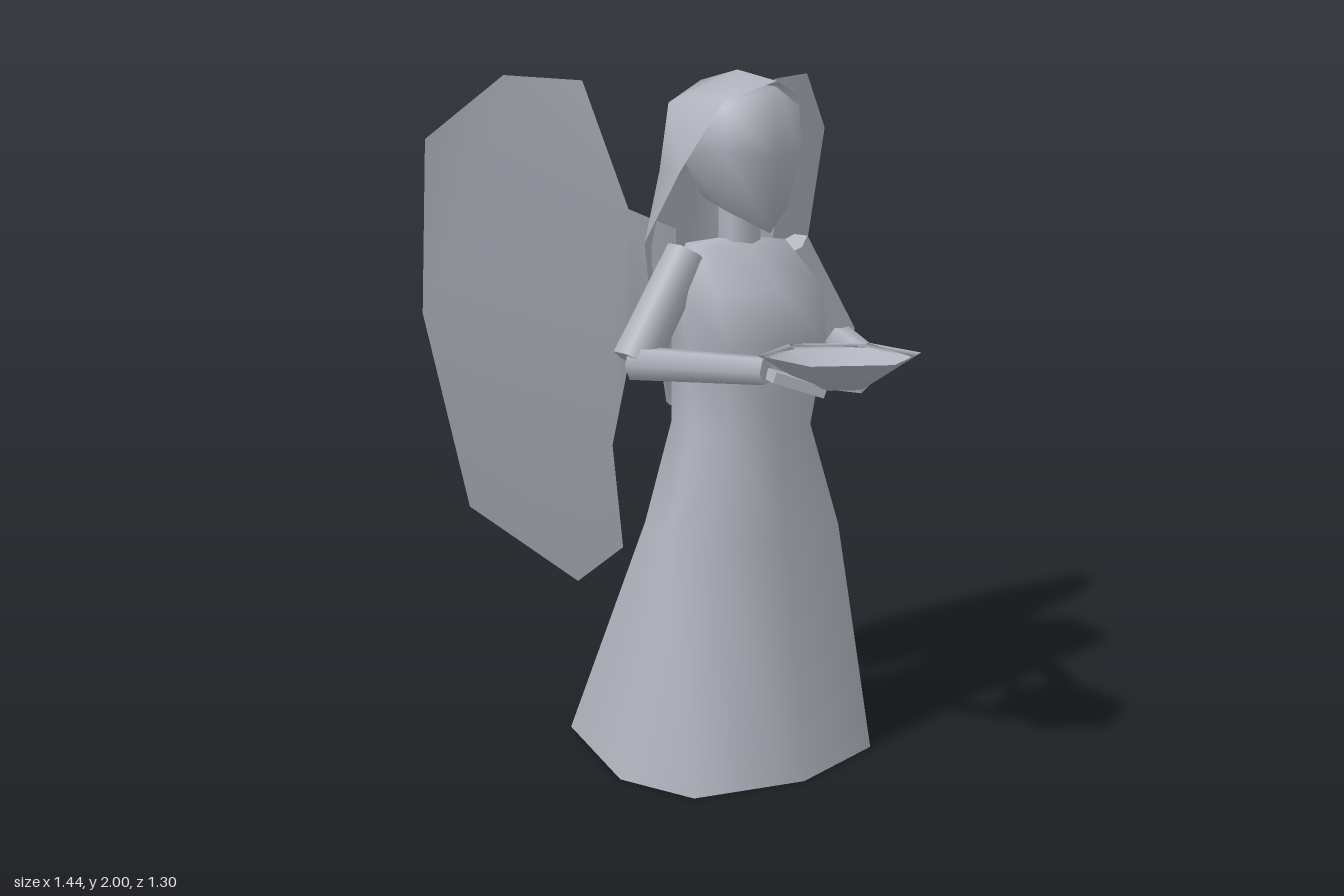
import * as THREE from 'three';
import { mergeGeometries, mergeVertices } from 'three/addons/utils/BufferGeometryUtils.js';

const stone = new THREE.MeshStandardMaterial({ color: 0xb0b4be, side: THREE.DoubleSide });
stone.name = 'grey stone';

const v = (p) => new THREE.Vector3(...p);

function part(name, geometry) {
  const mesh = new THREE.Mesh(geometry, stone);
  mesh.name = name;
  return mesh;
}

// Completes a half section, listed from front to back on the left side
function mirrorRow(half) {
  const other = half.filter((p) => p[0] !== 0).reverse().map(([x, y, z]) => [-x, y, z]);
  return [...half, ...other];
}

// Smooth skin through sections listed upwards, with optional centre points as caps
function loft(halves, { closed = true, bottom, top } = {}) {
  const rows = halves.map(mirrorRow);
  const n = rows[0].length;
  const points = rows.flat();
  const index = [];
  const spans = closed ? n : n - 1;
  for (let i = 0; i < rows.length - 1; i++) {
    for (let j = 0; j < spans; j++) {
      const a = i * n + j, b = i * n + (j + 1) % n;
      index.push(a, b, a + n, b, b + n, a + n);
    }
  }
  const last = (rows.length - 1) * n;
  if (bottom) {
    points.push(bottom);
    for (let j = 0; j < n; j++) index.push(points.length - 1, (j + 1) % n, j);
  }
  if (top) {
    points.push(top);
    for (let j = 0; j < n; j++) index.push(points.length - 1, last + j, last + (j + 1) % n);
  }
  const g = new THREE.BufferGeometry().setFromPoints(points.map(v));
  g.setIndex(index);
  g.computeVertexNormals();
  return g;
}

// Joins skins that share edges, smoothing across them
function weld(...geometries) {
  geometries.forEach((g) => g.deleteAttribute('normal'));
  const g = mergeVertices(mergeGeometries(geometries));
  g.computeVertexNormals();
  return g;
}

// Six-sided limb between two points
function limb(name, from, to, r0, r1) {
  const a = v(from), b = v(to);
  const mesh = part(name, new THREE.CylinderGeometry(r1, r0, a.distanceTo(b), 6));
  mesh.position.copy(a).lerp(b, 0.5);
  mesh.quaternion.setFromUnitVectors(new THREE.Vector3(0, 1, 0), b.sub(a).normalize());
  return mesh;
}

// Eight-sided section at height y
const section = (y, front, fx, fz, sx, sz, bx, bz, back) =>
  [[0, y, front], [fx, y, fz], [sx, y, sz], [bx, y, bz], [0, y, back]];

// Thin wing, outlined from its upper root round the tip
function wing(s) {
  const outline = [
    [0.1, 1.55, -0.19], [0.23, 1.61, -0.24], [0.34, 1.97, -0.30], [0.54, 1.985, -0.39],
    [0.72, 1.81, -0.52], [0.70, 1.31, -0.61], [0.545, 0.705, -0.65], [0.23, 0.44, -0.55],
    [0.14, 0.56, -0.43], [0.215, 0.9, -0.365], [0.18, 1.22, -0.30], [0.09, 1.32, -0.22],
  ];
  const faces = THREE.ShapeUtils.triangulateShape(
    outline.map(([x, y]) => new THREE.Vector2(x, y)), []);
  const g = new THREE.BufferGeometry().setFromPoints(outline.map(([x, y, z]) => v([s * x, y, z])));
  g.setIndex(faces.flatMap(([a, b, c]) => (s > 0 ? [a, b, c] : [a, c, b])));
  g.computeVertexNormals();
  return part(s > 0 ? 'leftWing' : 'rightWing', g);
}

function arm(s) {
  const group = new THREE.Group();
  group.name = s > 0 ? 'leftArm' : 'rightArm';
  group.add(limb('upperArm', [s * 0.18, 1.5, -0.022], [s * 0.36, 1.212, -0.022], 0.06, 0.064));
  group.add(limb('forearm', [s * 0.365, 1.21, -0.02], [s * 0.175, 1.215, 0.33], 0.05, 0.04));
  // Flat hand reaching inwards under the bowl
  const hand = part('hand', new THREE.BoxGeometry(0.15, 0.03, 0.1));
  hand.position.set(s * 0.11, 1.183, 0.37);
  hand.rotation.set(0, s * 0.35, s * 0.33);
  group.add(hand);
  return group;
}

export function createModel() {
  const model = new THREE.Group();
  model.name = 'wingedFigure';

  // Gown: open flared skirt, waist, chest and shoulders
  model.add(part('gown', loft([
    section(0, 0.288, 0.325, 0.2, 0.414, -0.04, 0.305, -0.485, -0.58),
    section(0.7, 0.2, 0.22, 0.165, 0.255, -0.02, 0.215, -0.195, -0.21),
    section(1.0, 0.165, 0.145, 0.125, 0.185, 0, 0.15, -0.15, -0.175),
    section(1.25, 0.2, 0.175, 0.155, 0.2, 0, 0.155, -0.14, -0.17),
    section(1.4, 0.165, 0.185, 0.125, 0.22, -0.02, 0.17, -0.135, -0.165),
    section(1.52, 0.04, 0.13, 0.03, 0.165, -0.02, 0.13, -0.1, -0.15),
  ], { top: [0, 1.54, -0.03] })));

  // Neck and head
  model.add(limb('neck', [0, 1.48, -0.02], [0, 1.68, -0.02], 0.06, 0.06));
  model.add(part('head', loft([
    [[0, 1.555, 0.12], [0.11, 1.62, 0.06], [0.1, 1.65, -0.06], [0, 1.65, -0.1]],
    [[0, 1.76, 0.155], [0.135, 1.78, 0.09], [0.14, 1.76, -0.1], [0, 1.76, -0.14]],
    [[0, 1.955, 0.146], [0.13, 1.9, 0.085], [0.15, 1.88, -0.1], [0, 1.93, -0.18]],
  ], { bottom: [0, 1.64, 0], top: [0, 1.97, -0.03] })));

  // Long hair falling down the back, with a crown over the head
  const hairTop = [[0.135, 1.92, 0.09], [0.172, 1.91, -0.12], [0, 1.97, -0.205]];
  const fall = loft([
    [[0.1, 1.03, -0.23], [0.075, 1.03, -0.285], [0, 1.05, -0.315]],
    [[0.175, 1.25, -0.2], [0.125, 1.25, -0.26], [0, 1.25, -0.292]],
    [[0.23, 1.52, -0.16], [0.165, 1.5, -0.225], [0, 1.5, -0.262]],
    [[0.185, 1.72, -0.05], [0.17, 1.72, -0.17], [0, 1.72, -0.235]],
    hairTop,
  ], { closed: false, bottom: [0, 1.01, -0.23] });
  const crown = loft([[[0, 1.97, 0.15], ...hairTop]], { top: [0, 2, -0.03] });
  model.add(part('hair', weld(fall, crown)));

  // Arms and wings
  for (const s of [1, -1]) model.add(arm(s), wing(s));

  // Six-sided bowl held in front
  const profile = [[0, 1.16], [0.08, 1.17], [0.221, 1.256], [0.195, 1.245], [0.08, 1.19], [0, 1.185]];
  const bowl = part('bowl', new THREE.LatheGeometry(
    profile.map(([r, y]) => new THREE.Vector2(r, y)), 6));
  bowl.position.z = 0.427;
  model.add(bowl);

  return model;
}
